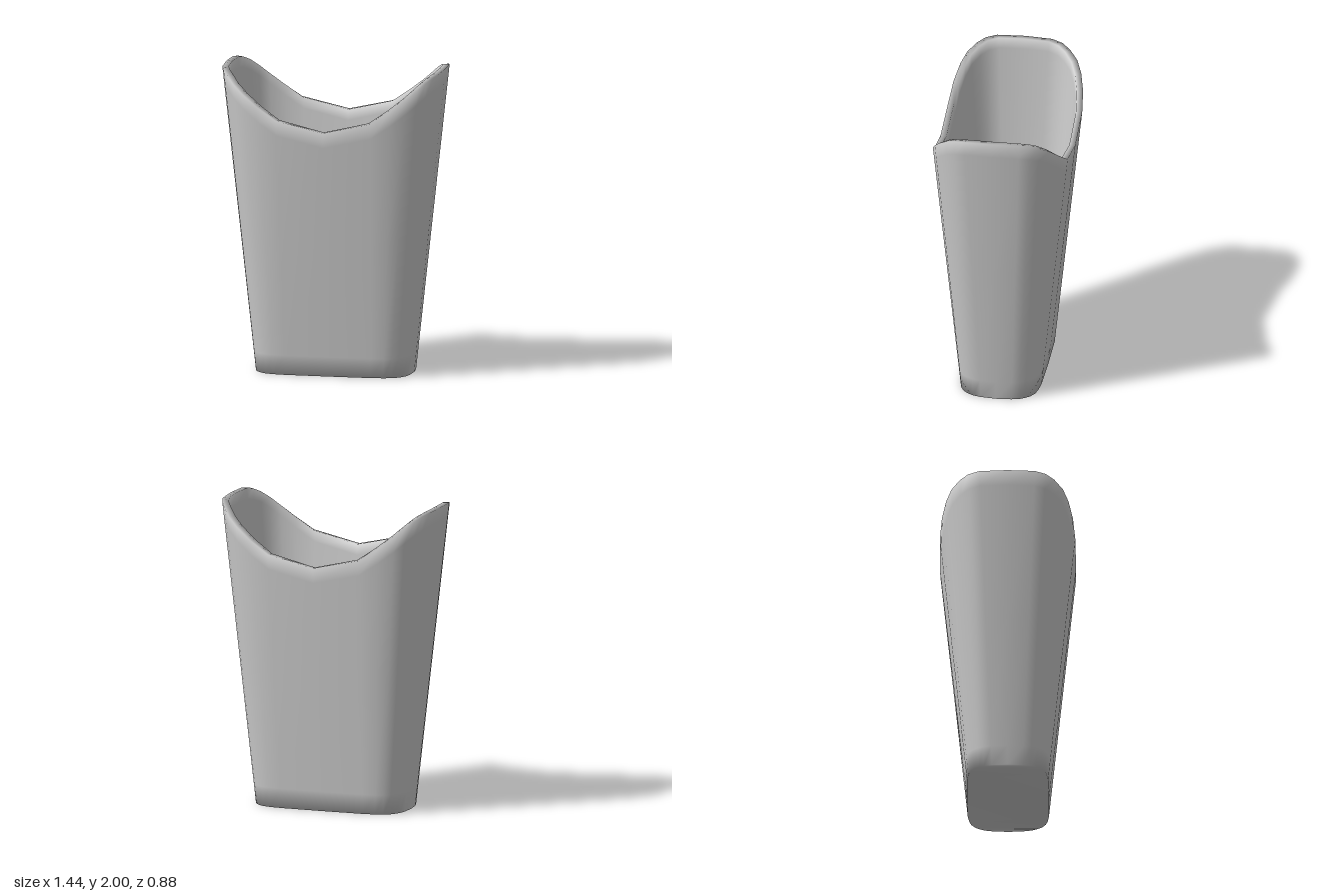
import * as THREE from 'three';

// One quarter of the plan, from the middle of the front to the middle of the side:
// [rim x, rim y, rim z, base x, base z]
const QUARTER = [
  [0, 1.63, 0.44, 0, 0.265],
  [0.31, 1.70, 0.437, 0.28, 0.262],
  [0.44, 1.785, 0.423, 0.36, 0.253],
  [0.54, 1.86, 0.395, 0.41, 0.24],
  [0.605, 1.915, 0.36, 0.45, 0.215],
  [0.655, 1.96, 0.305, 0.475, 0.185],
  [0.69, 1.985, 0.25, 0.495, 0.15],
  [0.712, 1.997, 0.18, 0.507, 0.1],
  [0.72, 2, 0, 0.515, 0],
];
const N = 32;

// Mirror the quarter into a full loop
function loopPoint(i) {
  i %= N;
  const k = i <= 8 ? i : i <= 16 ? 16 - i : i <= 24 ? i - 16 : 32 - i;
  const sx = i > 16 ? -1 : 1;
  const sz = i > 8 && i < 24 ? -1 : 1;
  const [rx, ry, rz, bx, bz] = QUARTER[k];
  return { rx: rx * sx, ry, rz: rz * sz, bx: bx * sx, bz: bz * sz };
}

// Rings up the outside, over the rim and down the inside:
// [share of the height, offset in y, inner surface?]
const RINGS = [
  [0, 0, false], [0, 0.13, false], [0.5, 0, false], [1, -0.1, false], [1, 0, false],
  [1, 0, true], [1, -0.07, true], [0.5, 0, true], [0, 0.015, true],
];

function shellGeometry() {
  const positions = [];
  const index = [];
  for (const [share, dy, inner] of RINGS) {
    for (let i = 0; i < N; i++) {
      const p = loopPoint(i);
      const y = p.ry * share + dy;
      const t = y / p.ry;
      let x = THREE.MathUtils.lerp(p.bx, p.rx, t);
      let z = THREE.MathUtils.lerp(p.bz, p.rz, t);
      if (inner) {
        // Wall thickness
        x *= THREE.MathUtils.lerp(0.95, 0.945, t);
        z *= THREE.MathUtils.lerp(0.895, 0.91, t);
      }
      positions.push(x, y, z);
    }
  }
  // Walls and rim
  for (let r = 0; r < RINGS.length - 1; r++) {
    for (let i = 0; i < N; i++) {
      const a = r * N + i;
      const b = r * N + (i + 1) % N;
      index.push(a, b, b + N, a, b + N, a + N);
    }
  }
  // Flat bottom, in strips from front to back
  const back = (i) => (48 - i) % N;
  for (let k = 24; k < 40; k++) {
    const i = k % N;
    const j = (k + 1) % N;
    if (back(i) !== i) index.push(i, back(i), j);
    if (back(j) !== j) index.push(back(i), back(j), j);
  }
  const geometry = new THREE.BufferGeometry();
  geometry.setAttribute('position', new THREE.Float32BufferAttribute(positions, 3));
  geometry.setIndex(index);
  geometry.computeVertexNormals();
  return geometry;
}

export function createModel() {
  const group = new THREE.Group();
  group.name = 'flaredContainer';
  const material = new THREE.MeshStandardMaterial({ color: 0xcccccc, side: THREE.DoubleSide });
  const shell = new THREE.Mesh(shellGeometry(), material);
  shell.name = 'containerShell';
  group.add(shell);
  return group;
}
